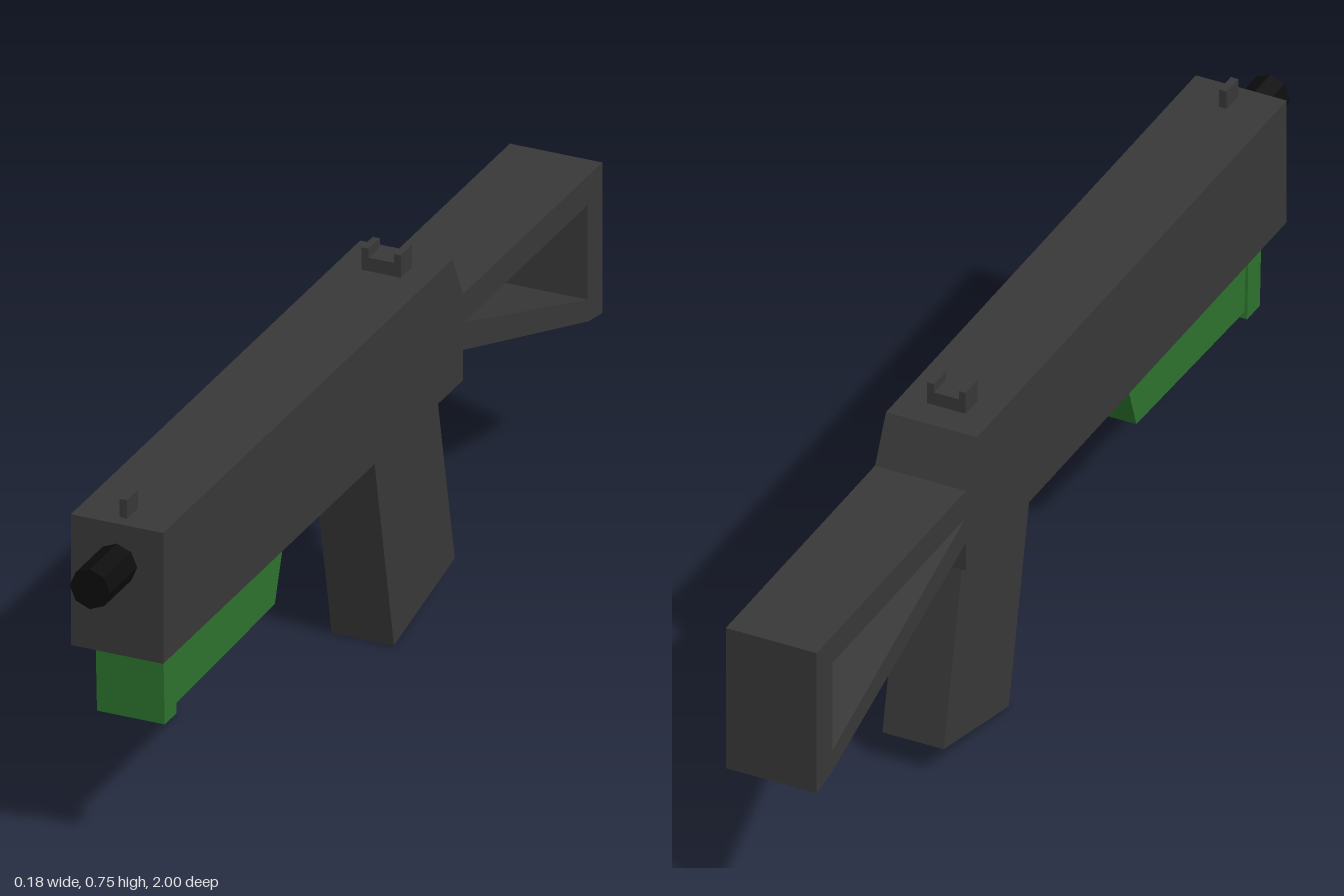
import * as THREE from 'three';

const paint = (color) => new THREE.MeshStandardMaterial({ color, flatShading: true });

// Side profile given as [z, y] corners, extruded across x and centred on x = 0
function slab(name, profile, width, material, hole) {
  const toPoints = (list) => list.map(([z, y]) => new THREE.Vector2(z, y));
  const shape = new THREE.Shape(toPoints(profile));
  if (hole) shape.holes.push(new THREE.Path(toPoints(hole)));
  const geometry = new THREE.ExtrudeGeometry(shape, { depth: width, bevelEnabled: false });
  geometry.translate(0, 0, -width / 2).rotateY(-Math.PI / 2);
  const mesh = new THREE.Mesh(geometry, material);
  mesh.name = name;
  return mesh;
}

export function createModel() {
  const model = new THREE.Group();
  model.name = 'toyBlaster';
  const dark = paint(0x383838);
  const black = paint(0x0c0c0c);
  const green = paint(0x2d732d);

  // Receiver with a sloped rear top edge
  model.add(slab('receiver',
    [[0.883, 0.437], [0.883, 0.70], [-0.358, 0.70], [-0.402, 0.61], [-0.402, 0.437]], 0.184, dark));

  // Skeleton stock: one frame with a triangular opening
  model.add(slab('stock',
    [[-0.39, 0.61], [-1, 0.61], [-1, 0.307], [-0.94, 0.317], [-0.39, 0.502]], 0.184, dark,
    [[-0.404, 0.552], [-0.937, 0.552], [-0.937, 0.362]]));

  // Slanted grip
  model.add(slab('grip',
    [[-0.08, 0.44], [-0.171, 0], [-0.432, 0.06], [-0.352, 0.44]], 0.124, dark));

  // Green handguard and its slightly larger front lip
  model.add(slab('handguard',
    [[0.80, 0.44], [0.80, 0.298], [0.34, 0.31], [0.295, 0.44]], 0.124, green));
  model.add(slab('handguardLip',
    [[0.83, 0.44], [0.824, 0.284], [0.773, 0.284], [0.779, 0.44]], 0.135, green));

  // Eight-sided barrel
  const barrel = new THREE.Mesh(
    new THREE.CylinderGeometry(0.04, 0.04, 0.14, 8).rotateX(Math.PI / 2), black);
  barrel.name = 'barrel';
  barrel.position.set(0, 0.62, 0.93);
  model.add(barrel);

  // Front sight post
  const frontSight = new THREE.Mesh(new THREE.BoxGeometry(0.015, 0.047, 0.047), dark);
  frontSight.name = 'frontSight';
  frontSight.position.set(0, 0.7135, 0.833);
  model.add(frontSight);

  // Notched rear sight, drawn as a U and extruded along z
  const notch = new THREE.Shape([
    [-0.039, 0.69], [0.039, 0.69], [0.039, 0.745], [0.025, 0.745],
    [0.025, 0.727], [-0.025, 0.727], [-0.025, 0.745], [-0.039, 0.745],
  ].map(([x, y]) => new THREE.Vector2(x, y)));
  const rearSight = new THREE.Mesh(
    new THREE.ExtrudeGeometry(notch, { depth: 0.048, bevelEnabled: false }), dark);
  rearSight.name = 'rearSight';
  rearSight.position.z = -0.298;
  model.add(rearSight);

  return model;
}
